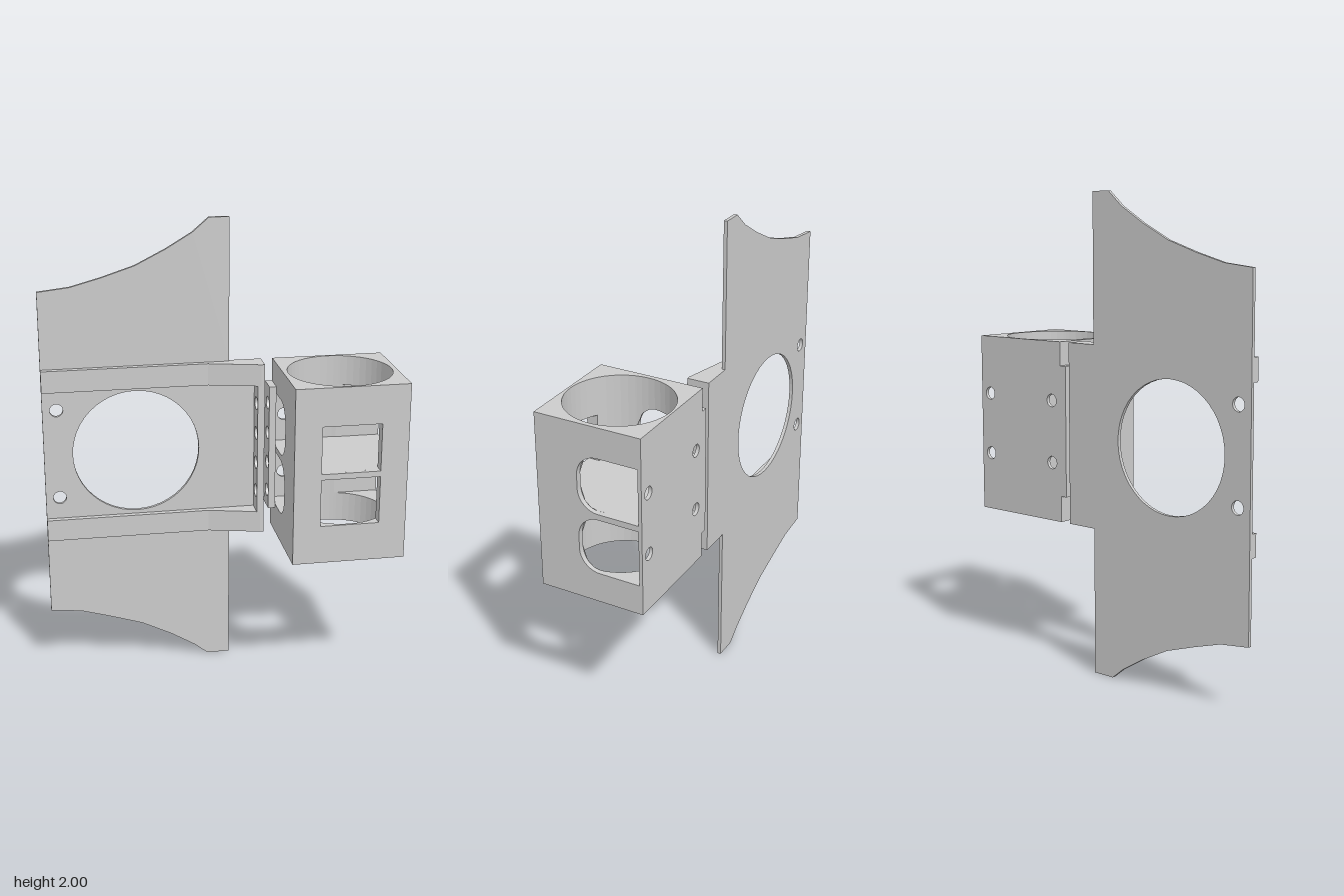
import * as THREE from 'three';

const grey = new THREE.MeshStandardMaterial({ color: 0xcccccc, flatShading: true });
const shell = new THREE.MeshStandardMaterial({ color: 0xcccccc, flatShading: true, side: THREE.DoubleSide });

function add(parent, name, geometry, material = grey) {
  const mesh = new THREE.Mesh(geometry, material);
  mesh.name = name;
  parent.add(mesh);
  return mesh;
}
const outline = (pts) => new THREE.Shape(pts.map(([a, b]) => new THREE.Vector2(a, b)));
const rect = (a0, b0, a1, b1) => outline([[a0, b0], [a1, b0], [a1, b1], [a0, b1]]);
const disc = (a, b, r) => new THREE.Path().absarc(a, b, r, 0, Math.PI * 2);
const extrude = (shape, depth) => new THREE.ExtrudeGeometry(shape, { depth, bevelEnabled: false, curveSegments: 24 });

// Flat face: shape in (u, v), moved into place by a rule
function face(shape, place) {
  const g = new THREE.ShapeGeometry(shape, 24);
  const p = g.attributes.position;
  for (let i = 0; i < p.count; i++) p.setXYZ(i, ...place(p.getX(i), p.getY(i)));
  g.computeVertexNormals();
  return g;
}
// Ruled surface from quads [a, b, c, d]
function quads(list) {
  const g = new THREE.BufferGeometry();
  const pos = list.flatMap(([a, b, c, d]) => [a, b, c, a, c, d].flat());
  g.setAttribute('position', new THREE.Float32BufferAttribute(pos, 3));
  g.computeVertexNormals();
  return g;
}
const ruled = (a, b) => quads(a.slice(1).map((_, i) => [a[i], a[i + 1], b[i + 1], b[i]]));

// Block dimensions, local to its centre
const W = 0.24, D = 0.23, H = 0.3825, R = 0.22;
const LO = 0.0125, SIDE_HI = 0.2525, FRONT_HI = 0.2175, FRONT_W = 0.125;
const Z0 = -0.215, Z1 = 0.05, ROUND = 0.09;
const bore = (t) => Math.sqrt(Math.max(0, R * R - t * t));

// Side window's lower and upper limit at depth z
function sideSpan(z) {
  const d = Math.max(0, z - (Z1 - ROUND));
  const inset = ROUND - Math.sqrt(Math.max(0, ROUND * ROUND - d * d));
  return [LO + inset, SIDE_HI - inset];
}

// Upper half of the block; the lower half is the same, turned over
function halfBlock() {
  const g = new THREE.Group();

  // Window edges
  const zs = [];
  for (let i = 0; i < 12; i++) zs.push(Z0 + (Z1 - ROUND - Z0) * i / 12);
  for (let i = 0; i <= 12; i++) zs.push(Z1 - ROUND + ROUND * Math.sin(i / 12 * Math.PI / 2));
  const sideEdge = [...zs.map((z) => [z, sideSpan(z)[0]]), ...zs.slice().reverse().map((z) => [z, sideSpan(z)[1]])];
  const xs = Array.from({ length: 13 }, (_, i) => -FRONT_W + 2 * FRONT_W * i / 12);
  const frontEdge = [...xs.map((x) => [x, LO]), ...xs.slice().reverse().map((x) => [x, FRONT_HI]), [xs[0], LO]];

  // Front wall and window reveal
  const front = rect(-W, 0, W, H);
  front.holes.push(rect(-FRONT_W, LO, FRONT_W, FRONT_HI));
  add(g, 'frontWall', face(front, (x, y) => [x, y, D]), shell);
  add(g, 'frontWindow', ruled(frontEdge.map(([x, y]) => [x, y, D]), frontEdge.map(([x, y]) => [x, y, bore(x)])), shell);

  // Back wall with screw holes
  const hx = 0.188, hy = (LO + SIDE_HI) / 2, hr = 0.027;
  const back = rect(-W, 0, W, H);
  back.holes.push(disc(hx, hy, hr), disc(-hx, hy, hr));
  add(g, 'backWall', face(back, (x, y) => [-x, y, -D]), shell);

  for (const s of [-1, 1]) {
    // Side wall, window reveal, thin back panel and its screw hole
    const side = rect(-D, 0, D, H);
    side.holes.push(outline(sideEdge));
    add(g, 'sideWall', face(side, (z, y) => [s * W, y, z]), shell);
    add(g, 'sideWindow', ruled(sideEdge.map(([z, y]) => [s * W, y, z]),
      sideEdge.map(([z, y]) => [s * bore(z), y, z])), shell);
    const panel = rect(bore(Z0), LO, W, SIDE_HI);
    panel.holes.push(disc(hx, hy, hr));
    add(g, 'innerBackPanel', face(panel, (x, y) => [s * x, y, Z0]), shell);
    const ring = disc(s * hx, hy, hr).getPoints(24);
    add(g, 'screwHole', ruled(ring.map((p) => [p.x, p.y, -D]), ring.map((p) => [p.x, p.y, Z0])), shell);
  }

  // Top rim and shelf at the bottom of the bore
  const rim = rect(-W, -D, W, D);
  rim.holes.push(disc(0, 0, R));
  add(g, 'topRim', face(rim, (x, z) => [x, H, -z]), shell);
  add(g, 'shelf', face(new THREE.Shape(disc(0, 0, R).getPoints(48)), (x, z) => [x, LO, -z]), shell);

  // Bore wall in columns, left open at the windows
  const angles = Array.from({ length: 49 }, (_, i) => -Math.PI + i / 24 * Math.PI);
  for (const a of [Math.asin(FRONT_W / R), Math.acos(Z1 / R), Math.acos(Z0 / R)]) angles.push(a, -a);
  angles.sort((a, b) => a - b);
  const span = (a, mid) => {
    const z = Math.cos(mid) * R;
    if (z > 0 && Math.abs(Math.sin(mid) * R) < FRONT_W) return [LO, FRONT_HI];
    if (z > Z0 && z < Z1) return sideSpan(Math.cos(a) * R);
    return [LO, LO];
  };
  const list = [];
  for (let i = 0; i + 1 < angles.length; i++) {
    const [a, b] = [angles[i], angles[i + 1]], mid = (a + b) / 2;
    const at = (t, y) => [R * Math.sin(t), y, R * Math.cos(t)];
    const sa = span(a, mid), sb = span(b, mid);
    list.push([at(b, LO), at(a, LO), at(a, sa[0]), at(b, sb[0])]);
    list.push([at(b, sb[1]), at(a, sa[1]), at(a, H), at(b, H)]);
  }
  add(g, 'bore', quads(list), shell);
  return g;
}

// Upright strip in the (z, y) plane with four screw holes
function screwStrip(parent, name, x0, x1, y0, y1) {
  const s = rect(-0.23, y0, -0.135, y1);
  for (const y of [0.805, 0.935, 1.07, 1.205]) s.holes.push(disc(-0.17, y, 0.028));
  add(parent, name, extrude(s, x1 - x0).rotateY(-Math.PI / 2).translate(x1, 0, 0));
}

export function createModel() {
  const model = new THREE.Group();
  model.name = 'mountBracket';

  // Thin back plate with curved ends, large opening and two small holes
  const top = [[0.065, 2], [-0.02, 2], [-0.09, 1.94], [-0.2, 1.875], [-0.33, 1.81], [-0.47, 1.765], [-0.6, 1.73], [-0.735, 1.715]];
  const bottom = [[-0.735, 0.275], [-0.6, 0.26], [-0.47, 0.222], [-0.33, 0.177], [-0.2, 0.112], [-0.09, 0.045], [-0.035, 0], [0.065, 0]];
  const plate = outline([...bottom, [0.065, 0.62], [0.175, 0.62], [0.175, 1.385], [0.065, 1.385], ...top]);
  plate.holes.push(disc(-0.34, 1.0025, 0.272), disc(-0.675, 1.205, 0.028), disc(-0.675, 0.81, 0.028));
  add(model, 'backPlate', extrude(plate, 0.015).translate(0, 0, -0.23));

  // Two ribs that thicken toward the joint
  const rib = outline([[-0.735, -0.23], [0.205, -0.23], [0.205, -0.135], [0.19, -0.135], [-0.03, -0.19], [-0.735, -0.19]]);
  for (const y of [0.715, 1.385]) add(model, 'rib', extrude(rib, 0.095).rotateX(Math.PI / 2).translate(0, y, 0));

  // Facing joint strips
  screwStrip(model, 'plateJoint', 0.175, 0.205, 0.715, 1.29);
  screwStrip(model, 'blockJoint', 0.225, 0.255, 0.73, 1.285);

  // Bored block
  const block = new THREE.Group();
  block.name = 'boredBlock';
  block.position.set(0.495, 1.0025, 0);
  const upper = halfBlock(), lower = halfBlock();
  upper.name = 'upperHalf';
  lower.name = 'lowerHalf';
  lower.rotation.z = Math.PI;
  block.add(upper, lower);
  model.add(block);
  return model;
}
